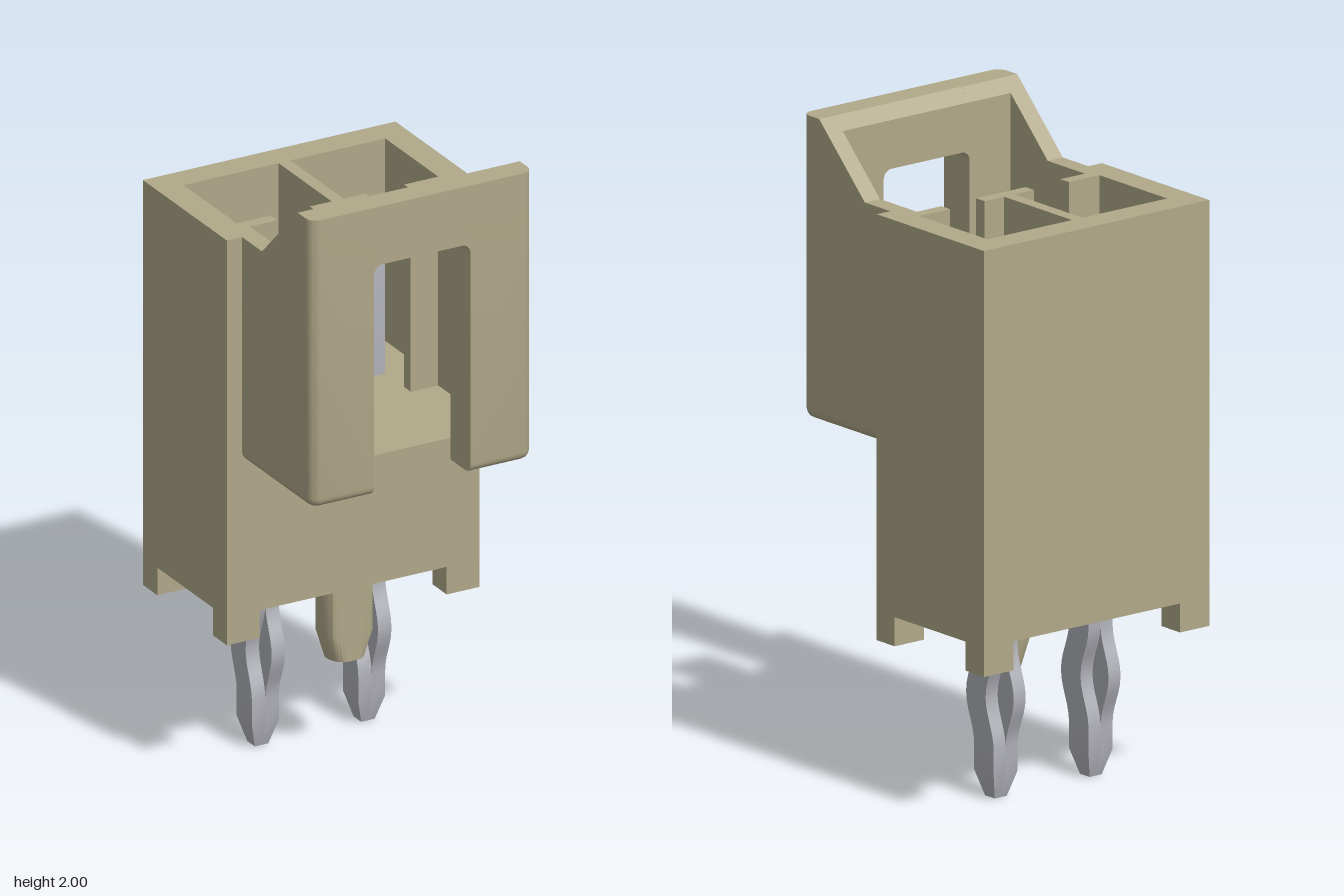
import * as THREE from 'three';
import { toCreasedNormals } from 'three/addons/utils/BufferGeometryUtils.js';

const plastic = new THREE.MeshStandardMaterial({ color: 0xb0a889 });
plastic.name = 'tan plastic';
const metal = new THREE.MeshStandardMaterial({ color: 0xb0b1b8 });
metal.name = 'grey metal';

// Box given by its limits
function box(x0, x1, y0, y1, z0, z1) {
  return new THREE.BoxGeometry(x1 - x0, y1 - y0, z1 - z0)
    .translate((x0 + x1) / 2, (y0 + y1) / 2, (z0 + z1) / 2);
}

// Move every vertex by a rule, then restore normals with sharp creases
function reshape(geometry, rule) {
  const p = geometry.attributes.position;
  const v = new THREE.Vector3();
  for (let i = 0; i < p.count; i++) {
    rule(v.fromBufferAttribute(p, i));
    p.setXYZ(i, v.x, v.y, v.z);
  }
  return toCreasedNormals(geometry, 0.5);
}

// Height of the shroud rim: level, then sloping up to the front
const rim = (z) => Math.min(2, 1.79 + 0.977 * Math.max(0, z - 0.165));

// Plan outline of one shroud half, its outer side drawn in by d
const ARC = 6;
function shroudRing(d) {
  const r = 0.035 - d, cx = 0.345, cz = 0.427;
  const ring = [0.045, 0.165, 0.34, 0.38].map((z) => [cx + r, z]);
  for (let i = 0; i <= ARC; i++) {
    const a = (i / ARC) * Math.PI / 2;
    ring.push([cx + r * Math.cos(a), cz + r * Math.sin(a)]);
  }
  ring.push([0.165, cz + r], [0.165, 0.38], [0.165, 0.34], [0.322, 0.34], [0.322, 0.165], [0.322, 0.045]);
  return ring;
}

// Shroud half: side wall and front post, with a rounded lower edge
function shroudHalf(side) {
  const rows = [];
  for (let i = 0; i <= 4; i++) {
    const a = (i / 4) * Math.PI / 2;
    rows.push(shroudRing(0.03 * (1 - Math.sin(a))).map(([x, z]) => [x, 1.06 + 0.03 * (1 - Math.cos(a)), z]));
  }
  rows.push(shroudRing(0).map(([x, z]) => [x, rim(z), z]));
  const out = [];
  const tri = (a, b, c) => (side > 0 ? [a, b, c] : [a, c, b]).forEach(([x, y, z]) => out.push(x * side, y, z));
  const n = rows[0].length;
  for (let k = 0; k + 1 < rows.length; k++) {
    for (let i = 0; i < n; i++) {
      const j = (i + 1) % n, lo = rows[k], hi = rows[k + 1];
      tri(lo[i], hi[i], lo[j]);
      tri(lo[j], hi[i], hi[j]);
    }
  }
  // Convex pieces of the top and bottom faces
  const A = 4 + ARC + 1, front = [];
  for (let i = 3; i <= A + 1; i++) front.push(i);
  const pieces = [[0, 1, A + 4, A + 5], [1, 2, A + 3, A + 4], [2, 3, A + 1, A + 2, A + 3], front];
  const bottom = rows[0], top = rows[rows.length - 1];
  for (const f of pieces) {
    for (let i = 1; i + 1 < f.length; i++) {
      tri(top[f[0]], top[f[i + 1]], top[f[i]]);
      tri(bottom[f[0]], bottom[f[i]], bottom[f[i + 1]]);
    }
  }
  const g = new THREE.BufferGeometry();
  g.setAttribute('position', new THREE.Float32BufferAttribute(out, 3));
  return toCreasedNormals(g, 0.5);
}

// Bar above the front window, with rounded window corners
function windowBar() {
  const s = new THREE.Shape();
  s.moveTo(-0.165, 2);
  s.lineTo(-0.165, 1.78);
  s.absarc(-0.135, 1.78, 0.03, Math.PI, Math.PI / 2, true);
  s.lineTo(0.135, 1.81);
  s.absarc(0.135, 1.78, 0.03, Math.PI / 2, 0, true);
  s.lineTo(0.165, 2);
  const g = new THREE.ExtrudeGeometry(s, { depth: 0.122, steps: 3, bevelEnabled: false, curveSegments: 5 });
  return reshape(g.translate(0, 0, 0.34), (v) => { if (v.y > 1.95) v.y = rim(v.z); });
}

// Walls round the two pin cells, slotted through to the front cavity
function cellWalls() {
  const half = [
    [0.02, -0.05], [0.02, -0.37], [0.345, -0.37], [0.345, -0.05], [0.228, -0.05],
    [0.228, -0.01], [0.322, -0.01], [0.322, 0.045], [0.432, 0.045], [0.432, -0.462],
  ];
  const right = [[0.095, -0.01], [0.095, -0.05], ...half];
  const left = right.map(([x, z]) => [-x, z]).reverse();
  const shape = new THREE.Shape([...right, ...left].map(([x, z]) => new THREE.Vector2(x, -z)));
  return new THREE.ExtrudeGeometry(shape, { depth: 0.66, bevelEnabled: false })
    .rotateX(-Math.PI / 2).translate(0, 1.13, 0);
}

// Locating peg: tapered round post with a flat front
function pegGeometry() {
  const profile = [[0, 0.325], [0.06, 0.325], [0.085, 0.41], [0.085, 0.58], [0, 0.58]];
  const g = new THREE.LatheGeometry(profile.map(([r, y]) => new THREE.Vector2(r, y)), 48);
  return reshape(g.translate(0, 0, -0.01), (v) => { v.z = Math.min(v.z, 0.045); });
}

// One side of the split pin tail, bowed towards its own side in z
function pinTail(side) {
  const ys = [0, 0.08, 0.16];
  for (let i = 1; i <= 12; i++) ys.push(0.16 + 0.31 * i / 12);
  ys.push(0.6);
  const n = ys.length - 1;
  const g = new THREE.BoxGeometry(0.046, 1, 0.092, 1, n, 1).translate(side * 0.023, 0.5, 0);
  return reshape(g, (v) => {
    v.y = ys[Math.round(v.y * n)];
    const taper = v.y < 0.08 ? 0.5 + 0.5 * v.y / 0.08 : 1;
    const t = THREE.MathUtils.clamp((v.y - 0.16) / 0.31, 0, 1);
    v.x *= taper;
    v.z = v.z * taper + side * 0.038 * (0.5 - 0.5 * Math.cos(2 * Math.PI * t));
  });
}

// Straight contact inside the cell, with a tapered tip
function pinContact() {
  const ys = [1.1, 1.48, 1.58];
  const g = new THREE.BoxGeometry(0.092, 1, 0.092, 1, 2, 1).translate(0, 0.5, 0);
  return reshape(g, (v) => {
    const k = Math.round(v.y * 2);
    v.y = ys[k];
    if (k === 2) { v.x *= 0.54; v.z *= 0.54; }
  });
}

export function createModel() {
  const model = new THREE.Group();
  model.name = 'pinHeader';
  const add = (name, geometry, material, parent = model) => {
    const mesh = new THREE.Mesh(geometry, material);
    mesh.name = name;
    parent.add(mesh);
    return mesh;
  };

  // Housing
  add('housingBase', box(-0.432, 0.432, 0.56, 1.13, -0.462, 0.045), plastic);
  add('cellWalls', cellWalls(), plastic);
  add('locatingPeg', pegGeometry(), plastic);

  // Latch shroud
  add('shroudFloor', box(-0.322, 0.322, 1.06, 1.13, 0.045, 0.34), plastic);
  add('windowBar', windowBar(), plastic);

  for (const [label, s] of [['left', 1], ['right', -1]]) {
    add(label + 'ShroudWall', shroudHalf(s), plastic);

    // Corner feet
    const x0 = Math.min(s * 0.32, s * 0.432), x1 = Math.max(s * 0.32, s * 0.432);
    add(label + 'FrontFoot', box(x0, x1, 0.47, 0.56, -0.04, 0.045), plastic);
    add(label + 'BackFoot', box(x0, x1, 0.47, 0.56, -0.462, -0.375), plastic);

    // Pins
    const pin = new THREE.Group();
    pin.name = label + 'Pin';
    pin.position.set(s * 0.182, 0, -0.21);
    add('pinContact', pinContact(), metal, pin);
    add('pinTailFront', pinTail(1), metal, pin);
    add('pinTailBack', pinTail(-1), metal, pin);
    model.add(pin);
  }
  return model;
}
